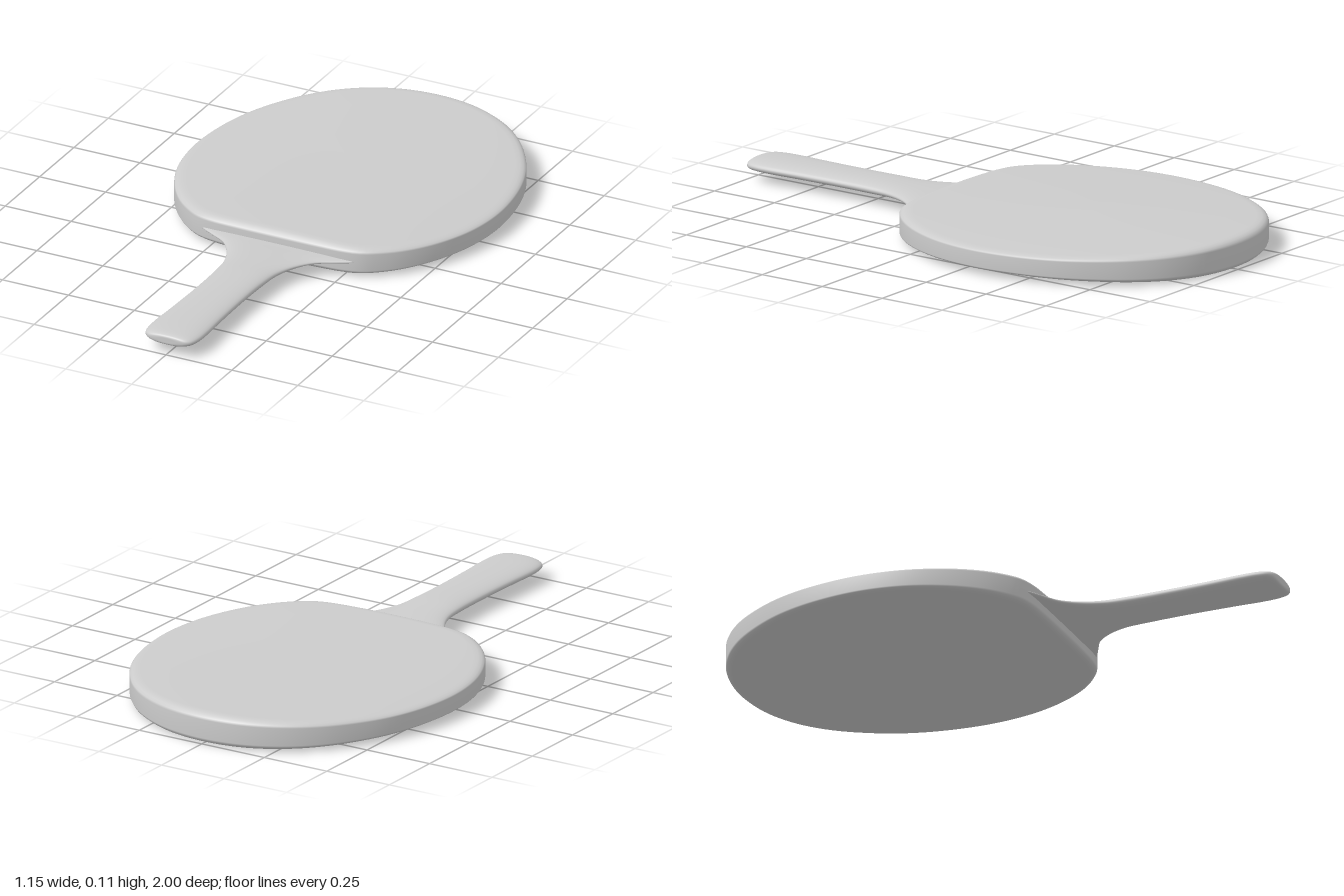
import * as THREE from 'three';

const material = new THREE.MeshStandardMaterial({ color: 0xcccccc });

// Smooth skin over closed rings of points; rings run along the axis, points counterclockwise about it
function loft(name, rings) {
  const n = rings[0].length;
  const index = [];
  for (let i = 0; i < rings.length - 1; i++) {
    for (let j = 0; j < n; j++) {
      const k = (j + 1) % n;
      const a = i * n + j, b = i * n + k, c = (i + 1) * n + k, d = (i + 1) * n + j;
      index.push(a, b, c, a, c, d);
    }
  }
  const geometry = new THREE.BufferGeometry().setFromPoints(rings.flat());
  geometry.setIndex(index);
  geometry.computeVertexNormals();
  const mesh = new THREE.Mesh(geometry, material);
  mesh.name = name;
  return mesh;
}

const MID = 0.054; // height of the middle plane

// Rounded hitting blade with a straight front edge and gently crowned faces
function createBlade() {
  const half = [
    [0, 0.2], [0.15, 0.198], [0.25, 0.192], [0.31, 0.178], [0.36, 0.148], [0.425, 0.09],
    [0.495, -0.01], [0.552, -0.15], [0.575, -0.31], [0.56, -0.48], [0.52, -0.62],
    [0.46, -0.735], [0.38, -0.84], [0.28, -0.922], [0.15, -0.98], [0, -1],
  ];
  const mirrored = half.slice(1, -1).reverse().map(([x, z]) => [-x, z]);
  const points = [...half, ...mirrored].map(([x, z]) => new THREE.Vector3(x, 0, z));
  const outline = new THREE.CatmullRomCurve3(points, true).getSpacedPoints(160).slice(0, -1);

  // [scale of outline, drop below the crowned face]
  const steps = [[0, 0], [0.4, 0], [0.75, 0], [0.93, 0], [0.962, 0.001], [0.982, 0.006], [0.995, 0.013], [1, 0.021]];
  const centreZ = -0.4;
  const ring = ([s, drop], side) => outline.map((p) => {
    const x = p.x * s;
    const height = 0.054 - 0.018 * (x / 0.575) ** 2 - drop * (1 - 0.5 * (x / 0.575) ** 2);
    return new THREE.Vector3(x, MID + side * height, centreZ + (p.z - centreZ) * s);
  });
  const bottom = steps.map((step) => ring(step, -1));
  const top = steps.map((step) => ring(step, 1)).reverse();
  return loft('blade', [...bottom, ...top]);
}

// Oval grip that flares into a thin shoulder running inside the blade
function createHandle() {
  // half width, half thickness, z
  const sections = [
    [0.36, 0.012, 0.08], [0.34, 0.012, 0.13], [0.295, 0.012, 0.18], [0.235, 0.013, 0.215],
    [0.175, 0.015, 0.25], [0.13, 0.018, 0.31], [0.103, 0.021, 0.38], [0.094, 0.024, 0.46],
    [0.091, 0.024, 0.6], [0.095, 0.024, 0.78], [0.1, 0.024, 0.9], [0.097, 0.023, 0.95],
    [0.088, 0.021, 0.98], [0.07, 0.017, 0.995], [0.04, 0.01, 1], [0, 0, 1],
  ].map((s) => new THREE.Vector3(...s));
  const profile = new THREE.CatmullRomCurve3(sections).getPoints(60);
  const ring = (w, h, z) => Array.from({ length: 40 }, (_, j) => {
    const a = (j / 40) * Math.PI * 2;
    const round = (v) => Math.sign(v) * Math.abs(v) ** 0.88;
    return new THREE.Vector3(w * round(Math.cos(a)), MID + h * round(Math.sin(a)), z);
  });
  const rings = profile.map((p) => ring(Math.max(p.x, 0), Math.max(p.y, 0), Math.min(p.z, 1)));
  rings.unshift(ring(0, 0, 0.08)); // closed inner end
  return loft('handle', rings);
}

export function createModel() {
  const group = new THREE.Group();
  group.name = 'paddle';
  group.add(createBlade(), createHandle());
  return group;
}
